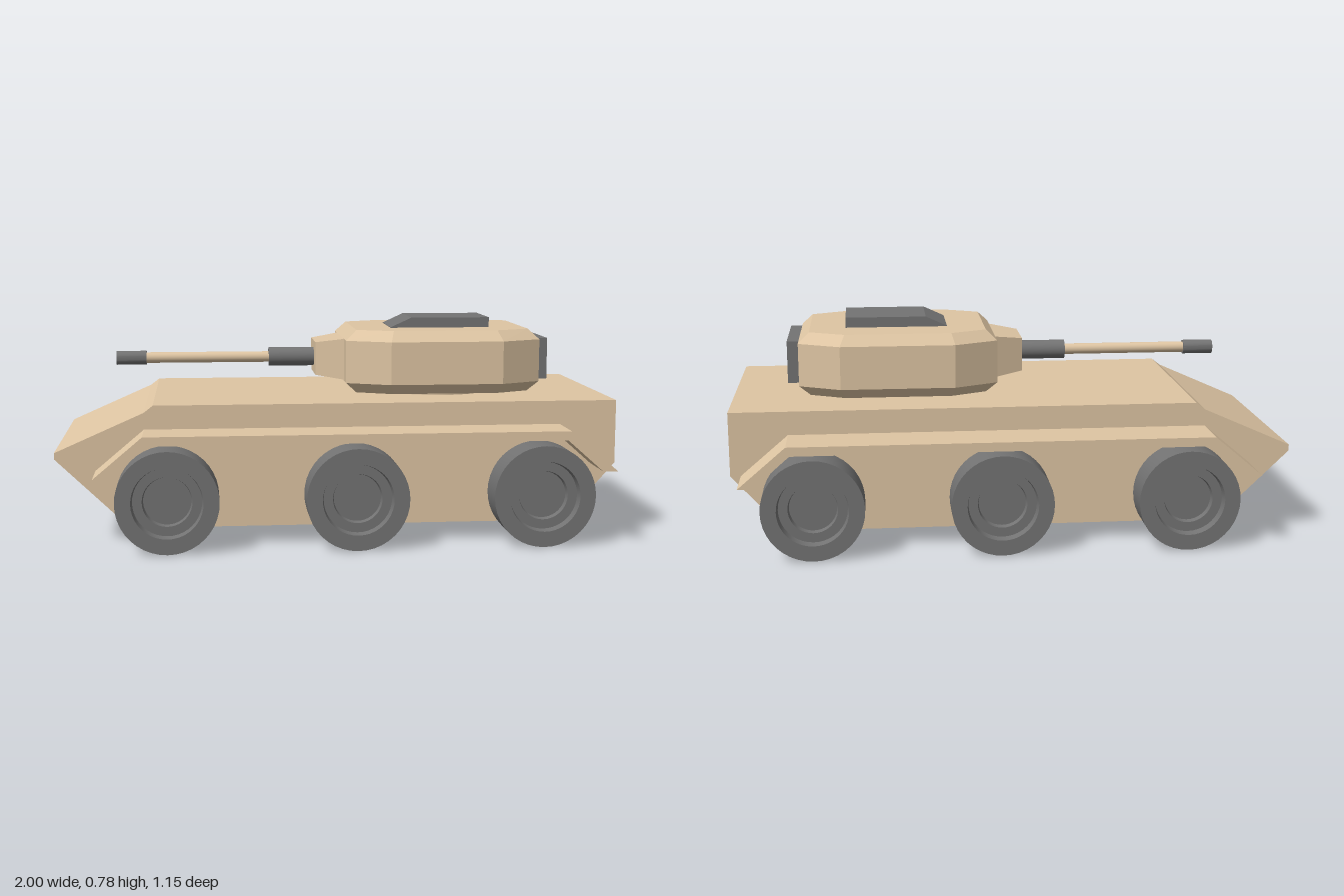
import * as THREE from 'three';
import { toCreasedNormals, mergeGeometries } from 'three/addons/utils/BufferGeometryUtils.js';
import { ConvexGeometry } from 'three/addons/geometries/ConvexGeometry.js';

const mat = (color, side = THREE.FrontSide) => new THREE.MeshStandardMaterial({ color, side });
const V = (x, y, z) => new THREE.Vector3(x, y, z);
const pts2 = (list) => list.map(([x, y]) => new THREE.Vector2(x, y));

export function createModel() {
  const model = new THREE.Group();
  const tan = mat(0xdec5a3), tanDouble = mat(0xdec5a3, THREE.DoubleSide);
  const dark = mat(0x737373), red = mat(0xd0261f), silver = mat(0xb0b0b0);
  const blue = mat(0x2a5d9a), cyan = mat(0x0aa0d0), yellow = mat(0xd8b830);

  const add = (name, geometry, material, parent = model) => {
    const mesh = new THREE.Mesh(geometry, material);
    mesh.name = name;
    parent.add(mesh);
    return mesh;
  };
  const box = (name, x0, x1, y0, y1, z0, z1, material, parent) =>
    add(name, new THREE.BoxGeometry(x1 - x0, y1 - y0, z1 - z0)
      .translate((x0 + x1) / 2, (y0 + y1) / 2, (z0 + z1) / 2), material, parent);
  // Cylinder lying along x
  const rod = (name, x0, x1, y, z, r, material, parent) =>
    add(name, new THREE.CylinderGeometry(r, r, x1 - x0, 24).rotateZ(Math.PI / 2)
      .translate((x0 + x1) / 2, y, z), material, parent);

  // Hull: side profile (counter-clockwise), one panel per edge, openings in the rear panels
  const W = 0.405;
  const profile = [[-0.74, 0.063], [0.815, 0.063], [1, 0.27], [1, 0.498], [-0.655, 0.498],
    [-0.687, 0.473], [-1, 0.335], [-1, 0.313]];
  const lamps = [[0.33, red], [-0.262, silver], [-0.327, red]];
  const lampY = 0.33, lampR = 0.028, bayZ = 0.133, bayY = 0.19, bayR = 0.074;
  const ring = (cz, cy, r, n) => {
    const list = [];
    for (let i = 0; i < n; i++) {
      const a = (i / n) * Math.PI * 2;
      list.push([-(cz + r * Math.cos(a)), cy + r * Math.sin(a)]);
    }
    return new THREE.Path(pts2(list));
  };
  const openings = { 1: [ring(bayZ, bayY, bayR, 4)], 2: lamps.map(([z]) => ring(z, lampY, lampR, 20)) };
  const panels = profile.map((p, i) => {
    const q = profile[(i + 1) % profile.length];
    const holes = openings[i] || [];
    // Panels with openings are drawn in true height, the others in 0..1
    const [v0, v1] = holes.length ? [p[1], q[1]] : [0, 1];
    const shape = new THREE.Shape(pts2([[-W, v0], [W, v0], [W, v1], [-W, v1]]));
    shape.holes.push(...holes);
    const g = new THREE.ShapeGeometry(shape), pos = g.attributes.position;
    for (let k = 0; k < pos.count; k++) {
      const t = (pos.getY(k) - v0) / (v1 - v0);
      pos.setXYZ(k, p[0] + (q[0] - p[0]) * t, p[1] + (q[1] - p[1]) * t, -pos.getX(k));
    }
    g.computeVertexNormals();
    return g;
  });
  const side = new THREE.ShapeGeometry(new THREE.Shape(pts2(profile)));
  panels.push(side.clone().translate(0, 0, W), side.clone().rotateY(Math.PI).scale(1, 1, 1));
  // The far side is the mirrored profile
  const far = panels.pop();
  const farPos = far.attributes.position;
  for (let k = 0; k < farPos.count; k++) farPos.setXYZ(k, -farPos.getX(k), farPos.getY(k), -W);
  const idx = far.index.array;
  for (let k = 0; k < idx.length; k += 3) [idx[k], idx[k + 1]] = [idx[k + 1], idx[k]];
  far.computeVertexNormals();
  panels.push(far);
  add('hull', mergeGeometries(panels), tan);

  // Rear lamps set in cups
  lamps.forEach(([z, material]) => {
    add('lampCup', new THREE.CylinderGeometry(lampR, lampR, 0.04, 20, 1, true)
      .rotateZ(Math.PI / 2).translate(0.98, lampY, z), tanDouble);
    add('rearLamp', new THREE.SphereGeometry(0.027, 20, 14).translate(0.972, lampY, z), material);
  });

  // Diamond-shaped bay in the lower rear slope
  const bay = new THREE.Group();
  bay.name = 'rearBay';
  model.add(bay);
  const bayX = 0.8;
  const walls = new THREE.CylinderGeometry(bayR, bayR, 0.2, 4, 1, true)
    .rotateZ(Math.PI / 2).translate(0.9, bayY, bayZ).toNonIndexed();
  const wp = walls.attributes.position;
  for (let k = 0; k < wp.count; k++) {
    if (wp.getX(k) > 0.9) wp.setX(k, 0.815 + (wp.getY(k) - 0.063) * 0.185 / 0.207);
  }
  walls.computeVertexNormals();
  add('bayWalls', walls, tanDouble, bay);
  add('bayBack', new THREE.CircleGeometry(bayR, 4).rotateY(Math.PI / 2)
    .translate(bayX, bayY, bayZ), tanDouble, bay);
  add('bayLowerPlate', new THREE.CircleGeometry(bayR, 2, Math.PI, Math.PI).rotateY(Math.PI / 2)
    .translate(bayX + 0.004, bayY, bayZ), cyan, bay);
  box('bayBlueBar', bayX, bayX + 0.008, 0.19, 0.22, bayZ - 0.044, bayZ + 0.044, blue, bay);
  box('bayYellowBar', bayX, bayX + 0.05, 0.17, 0.197, bayZ - 0.015, bayZ + 0.054, yellow, bay);

  // Blue fittings under the nose
  for (const z of [-0.12, 0.12]) rod('noseFitting', -0.85, -0.74, 0.16, z, 0.045, blue);

  // Fenders: bent plates along both sides
  const fender = new THREE.Shape(pts2([[-0.858, 0.27], [-0.805, 0.27], [-0.677, 0.382], [0.783, 0.382],
    [0.91, 0.27], [0.963, 0.27], [0.795, 0.414], [-0.687, 0.414]]));
  for (const z of [W, -0.577]) {
    add('fender', new THREE.ExtrudeGeometry(fender, { depth: 0.172, bevelEnabled: false })
      .translate(0, 0, z), tan);
  }

  // Six wheels with stepped hubs, and their axles
  const wheel = toCreasedNormals(new THREE.LatheGeometry(pts2([[0, 0.43], [0.18, 0.43], [0.18, 0.56],
    [0.125, 0.56], [0.12, 0.53], [0.087, 0.53], [0.083, 0.51], [0, 0.51]]), 40).rotateX(Math.PI / 2), 0.5);
  for (const x of [-0.607, 0.053, 0.711]) {
    add('axle', new THREE.CylinderGeometry(0.037, 0.037, 0.88, 20).rotateX(Math.PI / 2)
      .translate(x, 0.184, 0), dark);
    for (const turn of [0, Math.PI]) {
      const w = add('wheel', wheel, dark);
      w.position.set(x, 0.18, 0);
      w.rotation.y = turn;
    }
  }

  // Turret: octagonal rings, chamfered above and below
  const turret = new THREE.Group();
  turret.name = 'turret';
  model.add(turret);
  const octagon = (y, x0, x1, c0, c1, z, cz) => [-1, 1].flatMap((s) =>
    [V(x0, y, s * cz), V(c0, y, s * z), V(c1, y, s * z), V(x1, y, s * cz)]);
  const outer = [0.043, 0.76, 0.2, 0.61, 0.296, 0.218];
  const inner = [0.083, 0.72, 0.212, 0.593, 0.263, 0.198];
  add('turretBody', new ConvexGeometry([...octagon(0.51, ...inner), ...octagon(0.547, ...outer),
    ...octagon(0.702, ...outer), ...octagon(0.74, ...inner)]), tan, turret);
  add('turretRing', new THREE.CylinderGeometry(0.213, 0.213, 0.006, 32).translate(0.402, 0.5, 0), tan, turret);
  add('turretPivot', new THREE.CylinderGeometry(0.016, 0.016, 0.03, 16).translate(0.402, 0.505, 0), dark, turret);

  // Gun mount, hatch and rear stowage box
  const frame = (x, y0, y1, z) => [V(x, y0, z), V(x, y1, z), V(x, y0, -z), V(x, y1, -z)];
  add('gunMount', new ConvexGeometry([...frame(-0.06, 0.565, 0.687, 0.1), ...frame(0.05, 0.549, 0.703, 0.142)]),
    tan, turret);
  add('hatch', new ConvexGeometry([...frame(0.59, 0.73, 0.777, 0.117), ...frame(0.297, 0.73, 0.777, 0.117),
    ...frame(0.22, 0.73, 0.742, 0.117)]), dark, turret);
  box('stowageBox', 0.75, 0.802, 0.549, 0.702, -0.166, 0.166, dark, turret);

  // Gun: sleeve, barrel and hollow muzzle
  const gunY = 0.625;
  rod('gunSleeve', -0.23, -0.05, gunY, 0, 0.035, dark, turret);
  rod('gunBarrel', -0.75, -0.22, gunY, 0, 0.02, tan, turret);
  add('muzzle', toCreasedNormals(new THREE.LatheGeometry(pts2([[0, 0], [0.026, 0], [0.026, 0.112],
    [0.015, 0.112], [0.015, 0.07], [0, 0.07]]), 24).rotateZ(Math.PI / 2), 0.5)
    .translate(-0.688, gunY, 0), dark, turret);
  return model;
}
